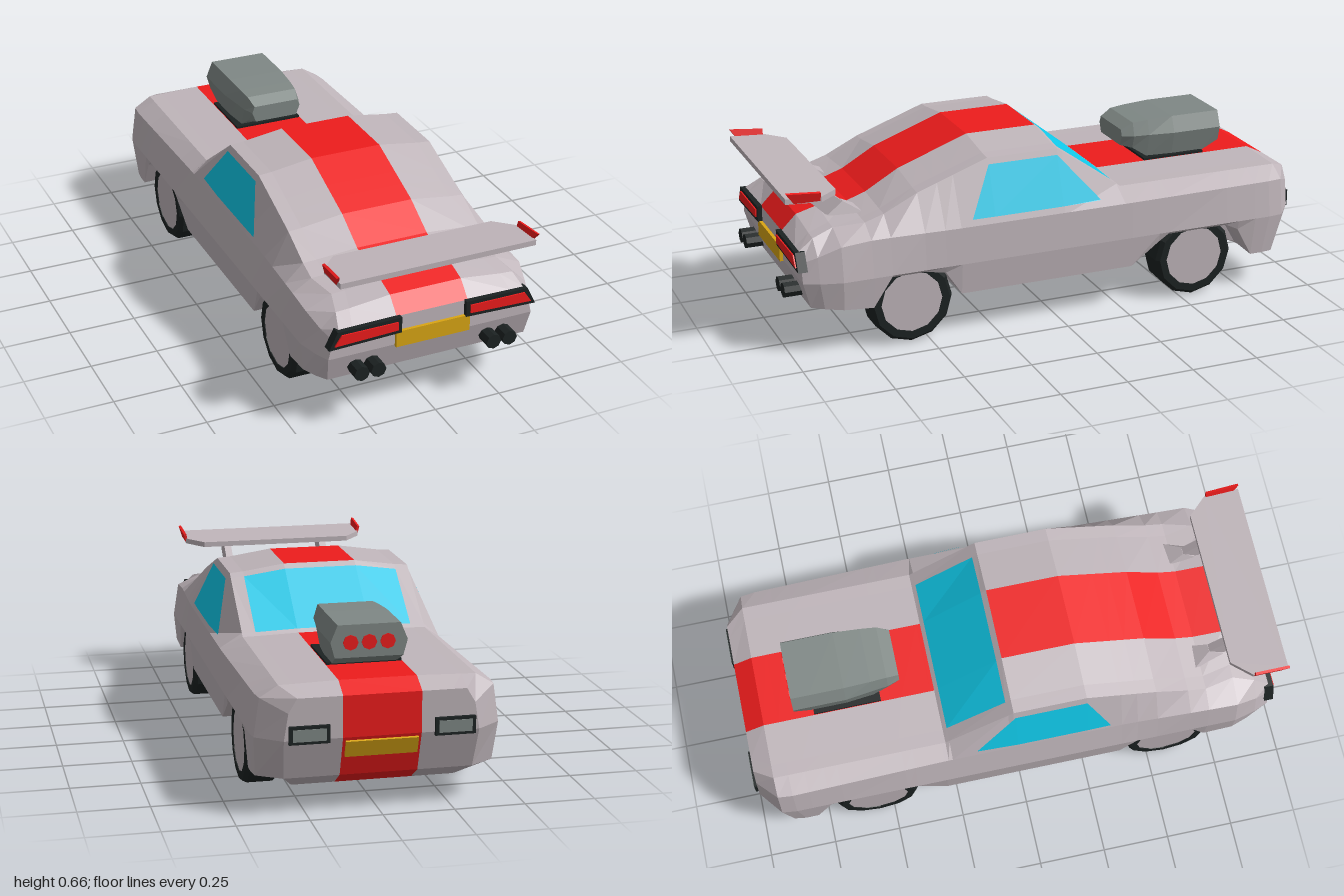
import * as THREE from 'three';
import { ConvexGeometry } from 'three/addons/geometries/ConvexGeometry.js';

const mat = (color) => new THREE.MeshStandardMaterial({ color, flatShading: true });
const BODY = mat(0xbfb5ba), RED = mat(0xee1c1c), GLASS = mat(0x10c8e8), DARK = mat(0x1c2222);
const YELLOW = mat(0xd9a514), METAL = mat(0x7f8885);

const clamp01 = (v) => Math.min(1, Math.max(0, v));

// value of a [z, value] polyline at z
function along(line, z) {
  for (let i = 1; i < line.length; i++) {
    const [a, va] = line[i - 1], [b, vb] = line[i];
    if (z <= b) return va + (vb - va) * clamp01((z - a) / (b - a));
  }
  return line[line.length - 1][1];
}

// lengthwise profiles of the body; the nose is at -z
const TOP = [[-.985, .42], [-.915, .455], [-.275, .455], [-.02, .657], [.25, .657], [.515, .56], [.68, .465], [.82, .462], [.9, .44], [.955, .385]];
const SHOULDER = [[-.985, .42], [-.915, .45], [-.275, .45], [-.02, .63], [.25, .63], [.515, .535], [.68, .455], [.82, .442], [.9, .42], [.955, .385]];
const SHOULDER_X = [[-.985, .29], [-.915, .34], [.71, .34], [.82, .315], [.955, .35]];
const BELT = [[-.985, .37], [-.915, .41], [.7, .41], [.82, .4], [.955, .345]];
const SILL = [[-.985, .13], [-.8, .13], [-.73, .24], [-.68, .265], [-.44, .265], [-.4, .24], [-.29, .16],
  [.38, .16], [.44, .25], [.5, .265], [.64, .265], [.71, .16], [.955, .18]];
const FLOOR = [[-.985, .08], [-.86, .11], [-.8, .13], [-.73, .155], [.7, .16], [.955, .18]];
const WIDTH = [[-.985, .78], [-.91, 1], [.85, 1], [.955, .9]];
const STATIONS = [-.985, -.915, -.86, -.8, -.73, -.68, -.44, -.4, -.29, -.275, -.26, -.04, -.02, .25, .38, .44, .515, .64, .71, .82, .9, .955];

// the belt bulges a little more on the left door than on the right
function beltX(z, s) {
  const door = s > 0 ? .422 : .398;
  return along([[-.9, .41], [-.3, door], [.4, door], [.7, .41]], z);
}

// half cross-section from the roof stripe round to the floor
function halfSection(z, s) {
  const w = along(WIDTH, z), sh = along(SHOULDER, z), sill = along(SILL, z), top = along(TOP, z);
  const sx = along(SHOULDER_X, z), floor = along(FLOOR, z);
  const pts = [[.135, top], [sx - .05, sh + (top - sh) * .15], [sx, sh], [beltX(z, s) * w, along(BELT, z)],
    [.43 * w, .275], [.42 * w, sill], [.29, z < -.79 ? floor + .005 : sill], [.28, floor]];
  // the nose and tail tuck in towards the bottom
  const nose = clamp01((-.75 - z) / .235), tail = clamp01((z - .82) / .135);
  return pts.map(([x, y]) => {
    const drop = Math.max(0, .27 - y);
    return [s * x, y, z + nose * (.35 * drop + 1.2 * Math.max(0, .13 - y)) - tail * .3 * drop];
  });
}

const quad = (out, a, b, c, d) => out.push(...a, ...b, ...c, ...a, ...c, ...d);

function mesh(name, geometry, material, parent) {
  const m = new THREE.Mesh(geometry, material);
  m.name = name;
  parent.add(m);
  return m;
}

function facets(positions) {
  const g = new THREE.BufferGeometry();
  g.setAttribute('position', new THREE.Float32BufferAttribute(positions, 3));
  g.computeVertexNormals();
  return g;
}

function box(name, w, h, d, x, y, z, material, parent) {
  const m = mesh(name, new THREE.BoxGeometry(w, h, d), material, parent);
  m.position.set(x, y, z);
  return m;
}

function extrude(points, depth) {
  const shape = new THREE.Shape(points.map(([x, y]) => new THREE.Vector2(x, y)));
  return new THREE.ExtrudeGeometry(shape, { depth, bevelEnabled: false });
}

// skin between rings that run clockwise seen from +z; pick() sorts faces into lists
function skin(rings, pick) {
  for (let i = 0; i + 1 < rings.length; i++) {
    const n = rings[i].length;
    for (let j = 0; j < n; j++) {
      const k = (j + 1) % n;
      quad(pick(i, j), rings[i][j], rings[i + 1][j], rings[i + 1][k], rings[i][k]);
    }
  }
}

function addBody(car) {
  const shell = [], stripe = [], glass = [];
  const rings = STATIONS.map((z) => [...halfSection(z, 1), ...halfSection(z, -1).reverse()]);
  const last = 15;
  skin(rings, (i, j) => {
    const z = STATIONS[i];
    if (z === -.26 && (j === last || j === 0 || j === last - 1)) return glass;
    if (j === last && z !== -.275 && z !== -.04) return stripe;
    return shell;
  });
  // nose and tail faces, in rows split at the stripe
  [rings[0], rings[rings.length - 1]].forEach((ring, end) => {
    const row = (k) => {
      const [x, y, z] = ring[k];
      return [ring[last - k][0], -.135, .135, x].map((v) => [v, y, z]);
    };
    for (let k = 2; k < 7; k++) {
      const a = row(k), b = row(k + 1);
      for (let c = 0; c < 3; c++) {
        const out = c === 1 && end === 0 ? stripe : shell;
        if (end === 0) quad(out, a[c], a[c + 1], b[c + 1], b[c]);
        else quad(out, a[c], b[c], b[c + 1], a[c + 1]);
      }
    }
  });
  mesh('bodyShell', facets(shell), BODY, car);
  mesh('racingStripe', facets(stripe), RED, car);
  mesh('windscreen', facets(glass), GLASS, car);
}

function addSideWindow(car, s) {
  const at = (z, y) => {
    const sh = along(SHOULDER, z), belt = along(BELT, z);
    return [s * (.348 + (beltX(z, s) - .34) * (sh - y) / (sh - belt)), y, z];
  };
  const top = [[-.165, .437], [-.015, .61], [.25, .61], [.335, .437]], out = [];
  for (let i = 0; i < 3; i++) {
    const [z0, y0] = top[i], [z1, y1] = top[i + 1];
    const q = [at(z0, y0), at(z1, y1), at(z1, .435), at(z0, .435)];
    quad(out, ...(s > 0 ? q : q.reverse()));
  }
  mesh('sideWindow', facets(out), GLASS, car);
}

function addWheel(car, s, z) {
  const wheel = new THREE.Group();
  wheel.name = 'wheel';
  const profile = [[0, -.06], [.142, -.06], [.155, -.045], [.155, .045], [.142, .06], [.115, .06], [.112, .045], [0, .045]];
  mesh('tyre', new THREE.LatheGeometry(profile.map(([r, y]) => new THREE.Vector2(r, y)), 12), DARK, wheel);
  mesh('rim', new THREE.CylinderGeometry(.115, .115, .02, 12), BODY, wheel).position.y = .047;
  wheel.rotation.z = -s * Math.PI / 2;
  wheel.position.set(s * .35, .155, z);
  car.add(wheel);
}

function addScoop(car) {
  box('hoodOpening', .266, .02, .25, 0, .453, -.6, DARK, car);
  const ring = (z, xt, yt, xm, ym, xb, yb) => {
    const half = [[xt, yt, z], [xm, ym, z], [xb, yb, z]];
    return [...half, ...half.map(([x, y]) => [-x, y, z]).reverse()];
  };
  const rings = [ring(-.795, .11, .61, .135, .55, .12, .495), ring(-.73, .11, .61, .135, .55, .115, .46),
    ring(-.6, .11, .61, .135, .55, .115, .46), ring(-.5, .105, .605, .122, .55, .105, .46),
    ring(-.44, .1, .6, .115, .55, .1, .5), ring(-.395, .09, .575, .1, .55, .085, .512)];
  const out = [];
  skin(rings, () => out);
  const [f, b] = [rings[0], rings[5]];
  for (const [p, q, r, t] of [[5, 0, 1, 4], [4, 1, 2, 3]]) {
    quad(out, f[p], f[q], f[r], f[t]);
    quad(out, b[t], b[r], b[q], b[p]);
  }
  mesh('hoodScoop', facets(out), METAL, car);
  for (const x of [-.065, 0, .065]) {
    const g = new THREE.CylinderGeometry(.027, .027, .03, 8).rotateX(Math.PI / 2);
    mesh('intakeTrumpet', g, RED, car).position.set(x, .548, -.784);
  }
}

function addSpoiler(car) {
  // trapezoid blade dipping towards its leading edge
  const blade = extrude([[-.3, .8], [.3, .8], [.365, .87], [.365, 1], [-.365, 1], [-.365, .87]], .02);
  blade.rotateX(Math.PI / 2);
  const p = blade.attributes.position;
  for (let i = 0; i < p.count; i++) p.setY(i, p.getY(i) + .588 - (1 - p.getZ(i)) * .06);
  blade.computeVertexNormals();
  mesh('spoilerBlade', blade, BODY, car);
  for (const s of [-1, 1]) {
    const tip = extrude([[-1, .612], [-.875, .6], [-.875, .568], [-.97, .57]], .01).rotateY(Math.PI / 2);
    const tipMesh = mesh('spoilerTip', tip.translate(0, -.57, 0), RED, car);
    tipMesh.position.set(s * .362 - .005, .57, 0);
    tipMesh.rotation.z = -s * .25;
    const strut = extrude([[-.94, .575], [-.84, .57], [-.7, .45], [-.8, .44]], .028).rotateY(Math.PI / 2);
    mesh('spoilerStrut', strut, BODY, car).position.x = s * .2 - .014;
    // wedge foot that widens forwards
    const foot = [[.16, .45, .67], [.27, .45, .67], [.22, .45, .81], [.18, .45, .81], [.186, .495, .75], [.214, .495, .75]];
    mesh('strutFoot', new ConvexGeometry(foot.map(([x, y, z]) => new THREE.Vector3(s * x, y, z))), BODY, car);
  }
}

function addLights(car, s) {
  const side = (pts) => pts.map(([x, y]) => [s * x, y]);
  const housing = extrude(side([[.122, .387], [.36, .385], [.392, .32], [.122, .328]]), .035);
  mesh('tailLampHousing', housing, DARK, car).position.z = .937;
  const lens = extrude(side([[.137, .373], [.347, .373], [.373, .334], [.137, .342]]), .01);
  mesh('tailLampLens', lens, RED, car).position.z = .967;
  box('headlampHousing', .14, .062, .025, s * .25, .295, -.985, DARK, car);
  box('headlampLens', .115, .042, .01, s * .25, .295, -.995, METAL, car);
  for (const x of [.22, .282]) {
    const pipe = new THREE.CylinderGeometry(.028, .028, .1, 8).rotateX(Math.PI / 2);
    mesh('exhaustPipe', pipe, DARK, car).position.set(s * x, .22, .95);
  }
}

export function createModel() {
  const car = new THREE.Group();
  car.name = 'car';
  addBody(car);
  for (const s of [-1, 1]) {
    addSideWindow(car, s);
    addWheel(car, s, .565);
    addWheel(car, s, -.555);
    addLights(car, s);
  }
  addScoop(car);
  addSpoiler(car);
  box('rearPlate', .28, .06, .02, 0, .3, .957, YELLOW, car);
  box('frontPlate', .25, .062, .02, 0, .235, -.97, YELLOW, car).rotation.x = -.33;
  return car;
}
